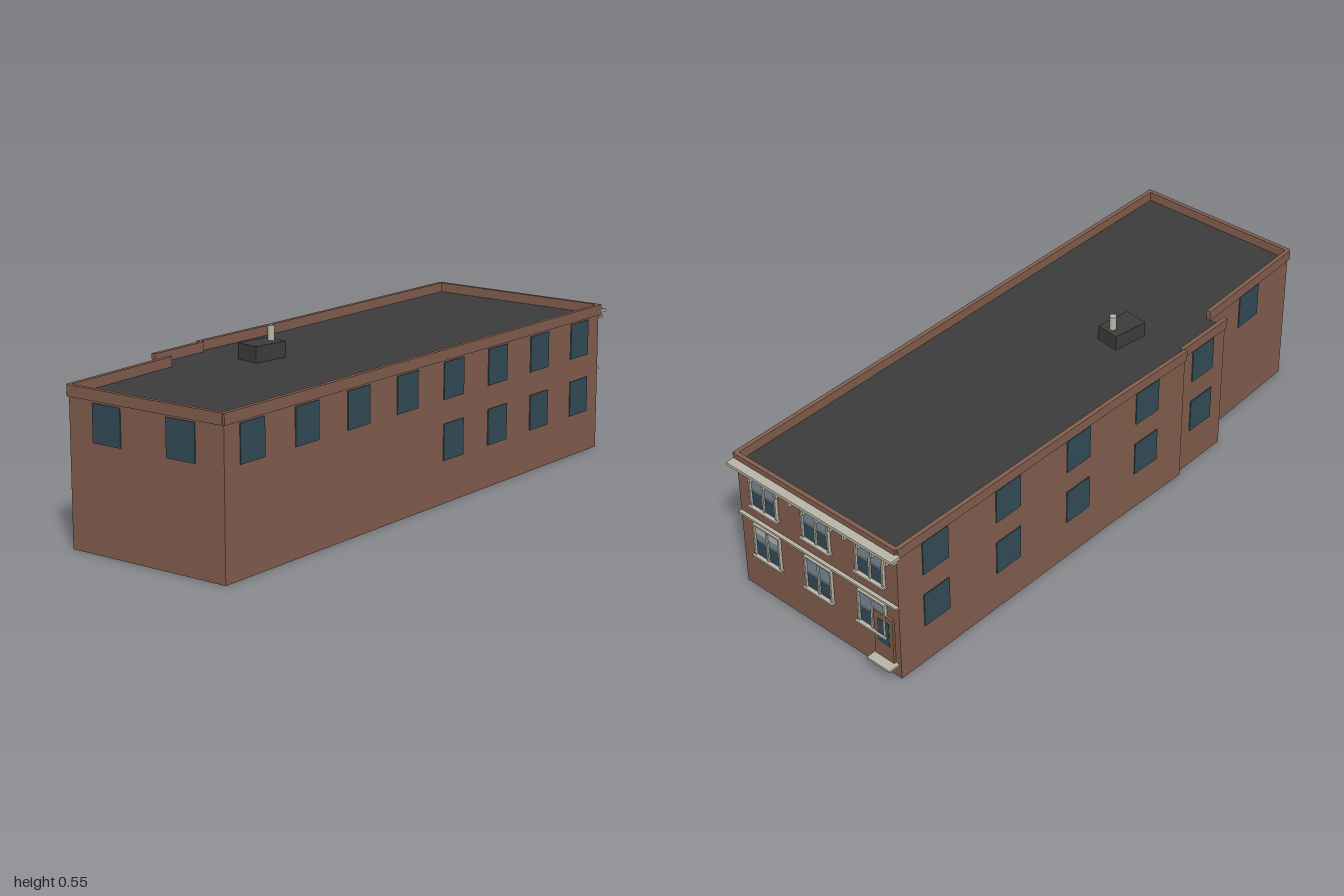
import * as THREE from 'three';

const mat = (name, color) => {
  const m = new THREE.MeshStandardMaterial({ color });
  m.name = name;
  return m;
};

export function createModel() {
  const brick = mat('brick', 0x835e4e);
  const roofing = mat('roofing', 0x3c3c3c);
  const darkGlass = mat('darkGlass', 0x334c59);
  const skyGlass = mat('skyGlass', 0x778b9b);
  const trim = mat('trim', 0xbab6a8);

  const model = new THREE.Group();
  model.name = 'building';

  // Footprint corners as [x, z], anticlockwise seen from above
  const P = [
    [-0.9, 0.453], [0.96, 0.187], [0.875, -0.445], [-0.02, -0.325],
    [-0.355, -0.287], [-0.353, -0.274], [-0.567, -0.243], [-0.555, -0.182], [-0.99, -0.1],
  ];

  // Solid body: dark roof and underside, brick walls
  const plan = new THREE.Shape(P.map(([x, z]) => new THREE.Vector2(x, -z)));
  const bodyGeo = new THREE.ExtrudeGeometry(plan, { depth: 0.45, bevelEnabled: false });
  bodyGeo.rotateX(-Math.PI / 2);
  const body = new THREE.Mesh(bodyGeo, [roofing, brick]);
  body.name = 'body';
  model.add(body);

  // Box given by its centre and size
  const box = (parent, name, m, x, y, z, w, h, d) => {
    const b = new THREE.Mesh(new THREE.BoxGeometry(w, h, d), m);
    b.position.set(x, y, z);
    b.name = name;
    parent.add(b);
    return b;
  };

  // One group per wall: local x runs along the wall, local z points outward
  const walls = P.map((p, i) => {
    const q = P[(i + 1) % P.length];
    const dx = q[0] - p[0], dz = q[1] - p[1];
    const g = new THREE.Group();
    g.name = 'wall' + (i + 1);
    g.position.set(p[0], 0, p[1]);
    g.rotation.y = Math.atan2(-dz, dx);
    model.add(g);
    const length = Math.hypot(dx, dz);
    // Parapet on the long walls only
    if (length > 0.1) {
      const extra = i === 0 ? 0.012 : 0.002;
      box(g, 'parapet', brick, length / 2, 0.464, 0.0005, length + extra, 0.034, 0.014);
    }
    return { g, length, atX: (x) => ((x - p[0]) / dx) * length };
  });

  // Plain windows on the side and rear walls
  const upperY = 0.3825, lowerY = 0.1925;
  const plainWindow = (wall, u, y) =>
    box(wall.g, 'window', darkGlass, u, y, 0.001, 0.103, 0.115, 0.004);
  for (let i = 0; i < 8; i++) {
    const u = walls[0].atX(-0.785 + i * 0.2329);
    plainWindow(walls[0], u, upperY);
    if (i > 3) plainWindow(walls[0], u, lowerY);
  }
  [[2, 0.727], [2, 0.43], [2, 0.126], [3, -0.183], [5, -0.46]].forEach(([w, x]) => {
    plainWindow(walls[w], walls[w].atX(x), upperY);
    plainWindow(walls[w], walls[w].atX(x), lowerY);
  });
  plainWindow(walls[7], walls[7].atX(-0.775), upperY);
  for (const t of [0.25, 0.73]) plainWindow(walls[8], walls[8].length * t, upperY);

  // Street facade
  const { g: facade, length: L } = walls[1];
  const uAt = (z) => (0.187 - z) * 1.009;

  // Four-pane window with frame, glazing bars and sill
  const sashWindow = (u, y, blind) => {
    const g = new THREE.Group();
    g.name = 'sashWindow';
    g.position.set(u, y, 0);
    facade.add(g);
    box(g, 'upperPane', skyGlass, 0, 0.029, 0.001, 0.1, 0.058, 0.004);
    box(g, 'lowerPane', darkGlass, 0, -0.029, 0.001, 0.1, 0.058, 0.004);
    if (blind) box(g, 'blind', trim, 0, 0.041, 0.002, 0.1, 0.03, 0.004);
    for (const s of [-1, 1]) box(g, 'jamb', trim, s * 0.052, 0, 0.005, 0.006, 0.116, 0.01);
    box(g, 'head', trim, 0, 0.057, 0.005, 0.11, 0.005, 0.01);
    box(g, 'mullion', trim, 0, 0, 0.004, 0.007, 0.114, 0.008);
    box(g, 'rail', trim, 0, 0, 0.003, 0.1, 0.003, 0.006);
    box(g, 'sill', trim, 0, -0.059, 0.008, 0.12, 0.006, 0.016);
  };
  [0.08, -0.131, -0.343].forEach((z, i) => {
    sashWindow(uAt(z), 0.377, false);
    sashWindow(uAt(z), 0.192, i === 0);
  });

  // Belt course and cornices
  box(facade, 'beltCourse', trim, L / 2, 0.267, 0.006, L, 0.007, 0.012);
  box(facade, 'lowerCornice', trim, L / 2, 0.439, 0.01, L + 0.012, 0.008, 0.02);
  box(facade, 'upperCornice', trim, L / 2 + 0.005, 0.458, 0.018, L + 0.02, 0.01, 0.036);
  for (let i = 0; i < 11; i++) {
    box(facade, 'bracket', trim, uAt(0.127 - i * 0.054), 0.422, 0.007, 0.008, 0.024, 0.014);
  }

  // Door and landing slab
  box(facade, 'door', brick, uAt(-0.388), 0.13, 0.004, 0.074, 0.162, 0.008);
  box(facade, 'doorGlass', darkGlass, uAt(-0.388), 0.147, 0.007, 0.046, 0.086, 0.004);
  box(facade, 'landing', trim, uAt(-0.393), 0.047, 0.02, 0.09, 0.007, 0.04);

  // Rooftop unit and flue
  box(model, 'rooftopUnit', roofing, -0.285, 0.474, -0.078, 0.12, 0.052, 0.08);
  const flue = new THREE.Mesh(new THREE.CylinderGeometry(0.011, 0.011, 0.05, 12), trim);
  flue.position.set(-0.248, 0.521, -0.078);
  flue.name = 'flue';
  model.add(flue);

  return model;
}
